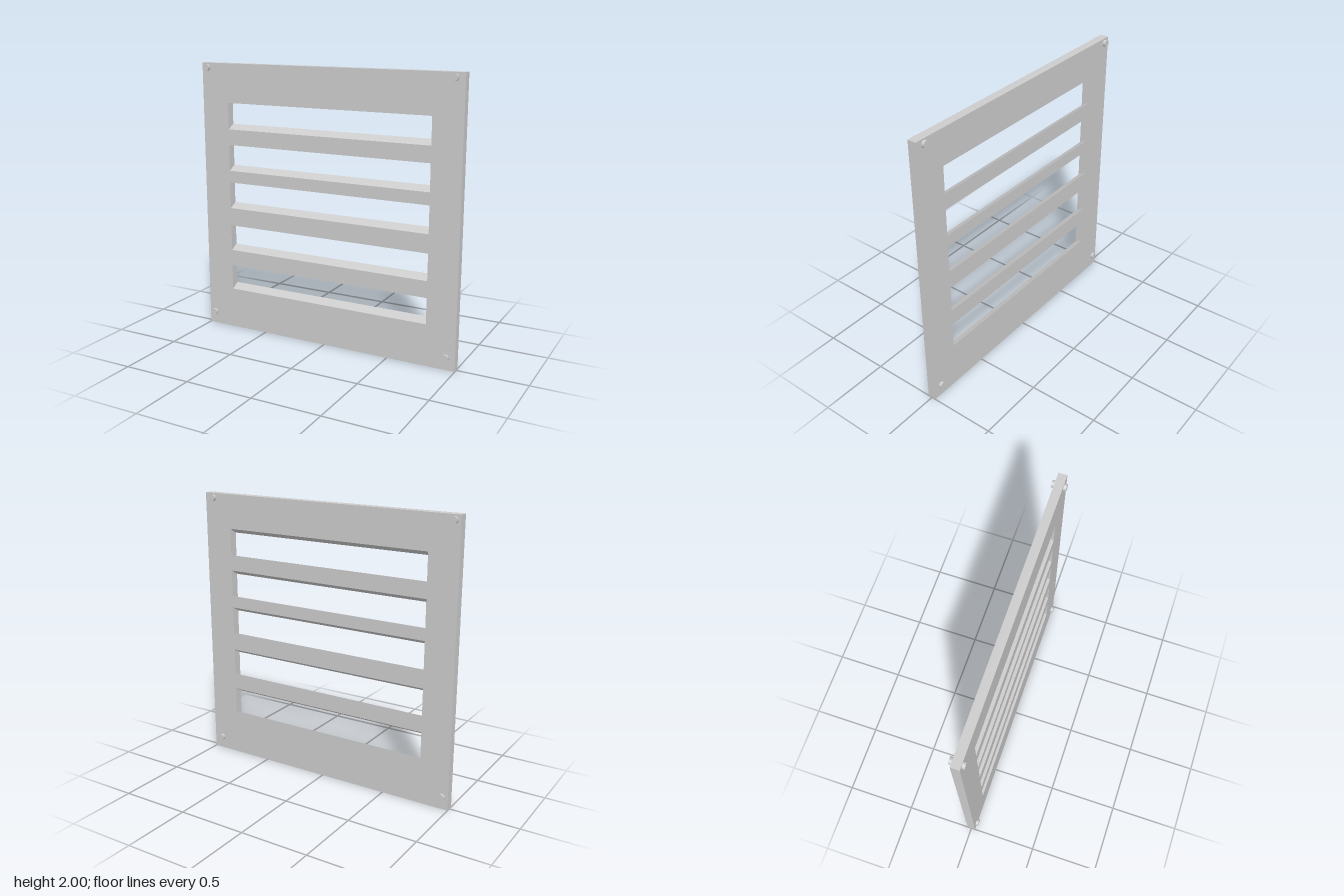
import * as THREE from 'three';

const DEPTH = 0.06;
const SLOT_HALF_WIDTH = 0.785;
const SLOT_RISE = 0.035; // how much higher each slot sits at the back

export function createModel() {
  const group = new THREE.Group();
  group.name = 'ventGrille';
  const material = new THREE.MeshStandardMaterial({ color: 0xcccccc });

  // Square plate with five louvre slots, given as [bottom, top] on the front face
  const plate = new THREE.Shape([
    [-1, 0], [1, 0], [1, 2], [-1, 2],
  ].map(([x, y]) => new THREE.Vector2(x, y)));
  const slots = [[0.303, 0.49], [0.61, 0.802], [0.935, 1.13], [1.218, 1.41], [1.525, 1.717]];
  for (const [y0, y1] of slots) {
    const w = SLOT_HALF_WIDTH;
    plate.holes.push(new THREE.Path([
      [-w, y0], [-w, y1], [w, y1], [w, y0],
    ].map(([x, y]) => new THREE.Vector2(x, y))));
  }
  const geometry = new THREE.ExtrudeGeometry(plate, { depth: DEPTH, bevelEnabled: false });
  geometry.translate(0, 0, -DEPTH / 2);

  // Slant the slots: lift their back corners
  const pos = geometry.attributes.position;
  for (let i = 0; i < pos.count; i++) {
    if (Math.abs(pos.getX(i)) < 0.9 && pos.getZ(i) < 0) pos.setY(i, pos.getY(i) + SLOT_RISE);
  }
  geometry.computeVertexNormals();
  const panel = new THREE.Mesh(geometry, material);
  panel.name = 'louvredPanel';
  group.add(panel);

  // Corner pins that stand proud of both faces
  const pinGeometry = new THREE.CylinderGeometry(0.024, 0.024, 0.1, 24).rotateX(Math.PI / 2);
  for (const x of [-0.955, 0.932]) {
    for (const y of [0.091, 1.966]) {
      const pin = new THREE.Mesh(pinGeometry, material);
      pin.name = 'cornerPin';
      pin.position.set(x, y, 0);
      group.add(pin);
    }
  }
  return group;
}
